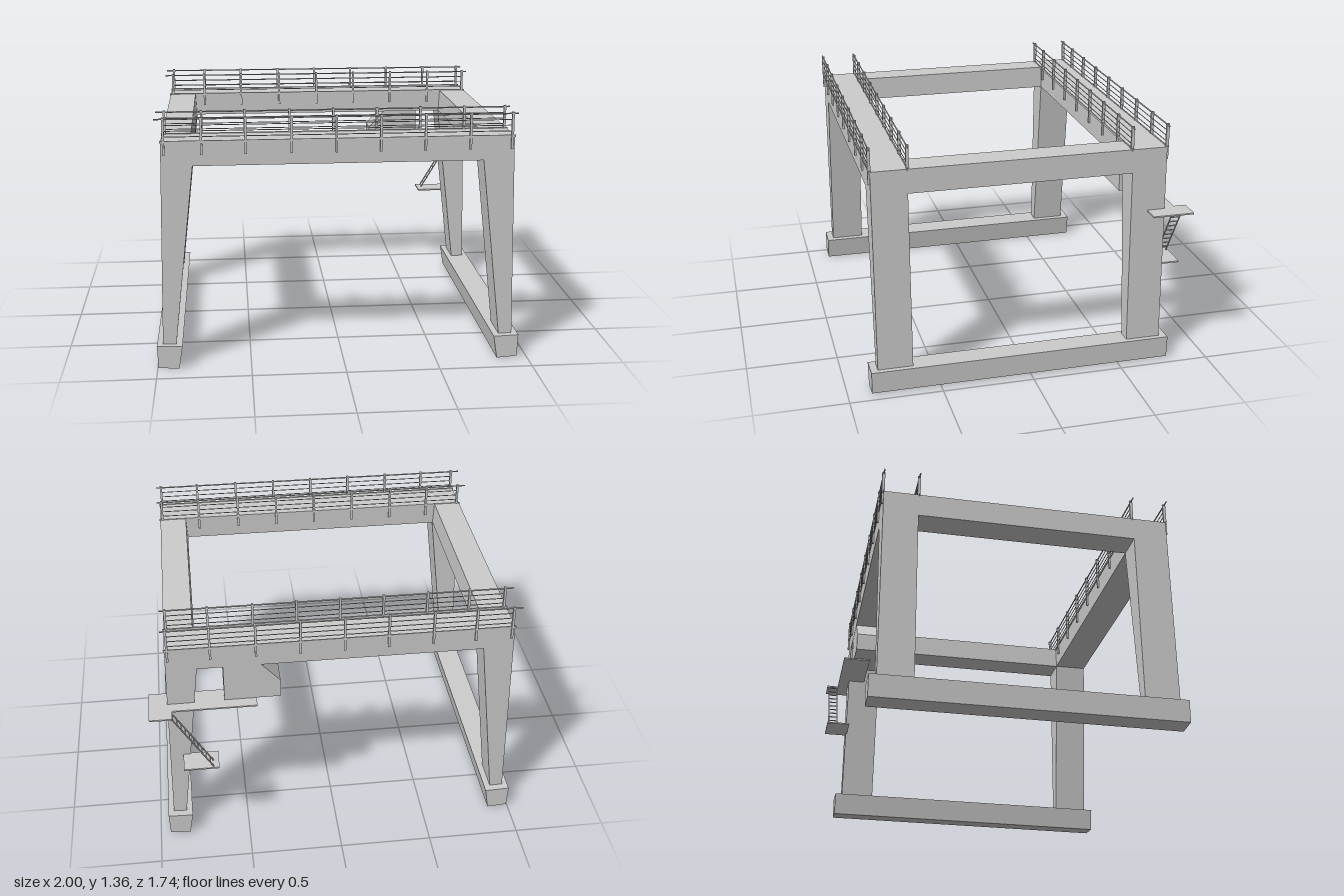
import * as THREE from 'three';

const grey = new THREE.MeshStandardMaterial({ color: 0xcccccc, flatShading: true, side: THREE.DoubleSide });

// Outline in x-y, extruded from z0 to z1
function prism(name, points, z0, z1) {
  const shape = new THREE.Shape(points.map(([x, y]) => new THREE.Vector2(x, y)));
  const geo = new THREE.ExtrudeGeometry(shape, { depth: z1 - z0, bevelEnabled: false });
  geo.translate(0, 0, z0);
  const mesh = new THREE.Mesh(geo, grey);
  mesh.name = name;
  return mesh;
}

// Box given by its limits on each axis
function block(name, [x0, x1], [y0, y1], [z0, z1]) {
  const mesh = new THREE.Mesh(new THREE.BoxGeometry(x1 - x0, y1 - y0, z1 - z0), grey);
  mesh.position.set((x0 + x1) / 2, (y0 + y1) / 2, (z0 + z1) / 2);
  mesh.name = name;
  return mesh;
}

// Round bar between two points
function bar(name, a, b, radius) {
  const from = new THREE.Vector3(...a), to = new THREE.Vector3(...b);
  const dir = to.clone().sub(from);
  const mesh = new THREE.Mesh(new THREE.CylinderGeometry(radius, radius, dir.length(), 6), grey);
  mesh.position.copy(from).add(to).multiplyScalar(0.5);
  mesh.quaternion.setFromUnitVectors(new THREE.Vector3(0, 1, 0), dir.normalize());
  mesh.name = name;
  return mesh;
}

// Walkway railing along one edge of a girder
function railing(z) {
  const group = new THREE.Group();
  group.name = 'railing';
  for (const x of [-0.93, -0.737, -0.51, -0.273, -0.04, 0.192, 0.425, 0.662, 0.882]) {
    group.add(block('railingPost', [x - 0.006, x + 0.006], [1.16, 1.355], [z - 0.008, z + 0.008]));
  }
  group.add(bar('handrail', [-0.975, 1.347, z], [0.91, 1.347, z], 0.004));
  for (const y of [1.315, 1.285, 1.255]) {
    group.add(bar('middleRail', [-0.935, y, z], [0.885, y, z], 0.0025));
  }
  group.add(block('toeBoard', [-0.95, 0.9], [1.222, 1.234], [z - 0.003, z + 0.003]));
  return group;
}

export function createModel() {
  const crane = new THREE.Group();
  crane.name = 'gantryCrane';
  const cx = -0.025; // middle of the span

  // Portal frames: girder with two tapered legs each
  const half = [[-0.945, 0.11], [-0.92, 1.23]];
  const portal = [
    [cx - 0.945, 0.11], [cx - 0.875, 0.11], [cx - 0.76, 1.1],
    [cx + 0.76, 1.1], [cx + 0.875, 0.11], [cx + 0.945, 0.11],
    [cx + half[1][0] * -1, 1.23], [cx + half[1][0], 1.23],
  ];
  crane.add(prism('frontPortal', portal, 0.645, 0.835));
  crane.add(prism('backPortal', portal, -0.743, -0.553));

  for (const side of [-1, 1]) {
    const mirror = (pts) => pts.map(([x, y]) => [cx + side * x, y]);
    // Tilted ground sill
    crane.add(prism('groundSill',
      mirror([[0.975, 0.13], [0.84, 0.125], [0.86, 0], [0.97, 0.008]]), -0.785, 0.873));
    // Top beam joining the two portals
    crane.add(prism('endBeam',
      mirror([[0.92, 1.23], [0.768, 1.23], [0.762, 1.1], [0.923, 1.1]]), -0.553, 0.645));
  }

  for (const z of [0.837, 0.643, -0.551, -0.745]) crane.add(railing(z));

  // Operator cab with sloped nose
  crane.add(prism('cab',
    [[0.3, 0.886], [0.6, 0.886], [0.6, 1.1], [0.4, 1.1], [0.3, 0.99]], -0.742, -0.595));

  // Access platforms
  crane.add(prism('cabPlatform', [[0.43, 0.876], [0.88, 0.876], [0.88, 0.884], [0.43, 0.884]], -0.805, -0.645));
  crane.add(block('outerPlatform', [0.88, 1.0], [0.876, 0.884], [-0.872, -0.645]));
  crane.add(block('lowerPlatform', [0.65, 0.84], [0.527, 0.535], [-0.872, -0.735]));

  // Ladder between the platforms
  const ladder = new THREE.Group();
  ladder.name = 'ladder';
  for (const z of [-0.81, -0.861]) {
    ladder.add(bar('ladderRail', [0.68, 0.535, z], [0.885, 0.878, z], 0.004));
  }
  for (let i = 0; i < 10; i++) {
    const y = 0.565 + i * 0.0335;
    const x = 0.68 + (y - 0.535) * 0.598;
    ladder.add(bar('ladderRung', [x, y, -0.81], [x, y, -0.861], 0.004));
  }
  crane.add(ladder);

  return crane;
}
